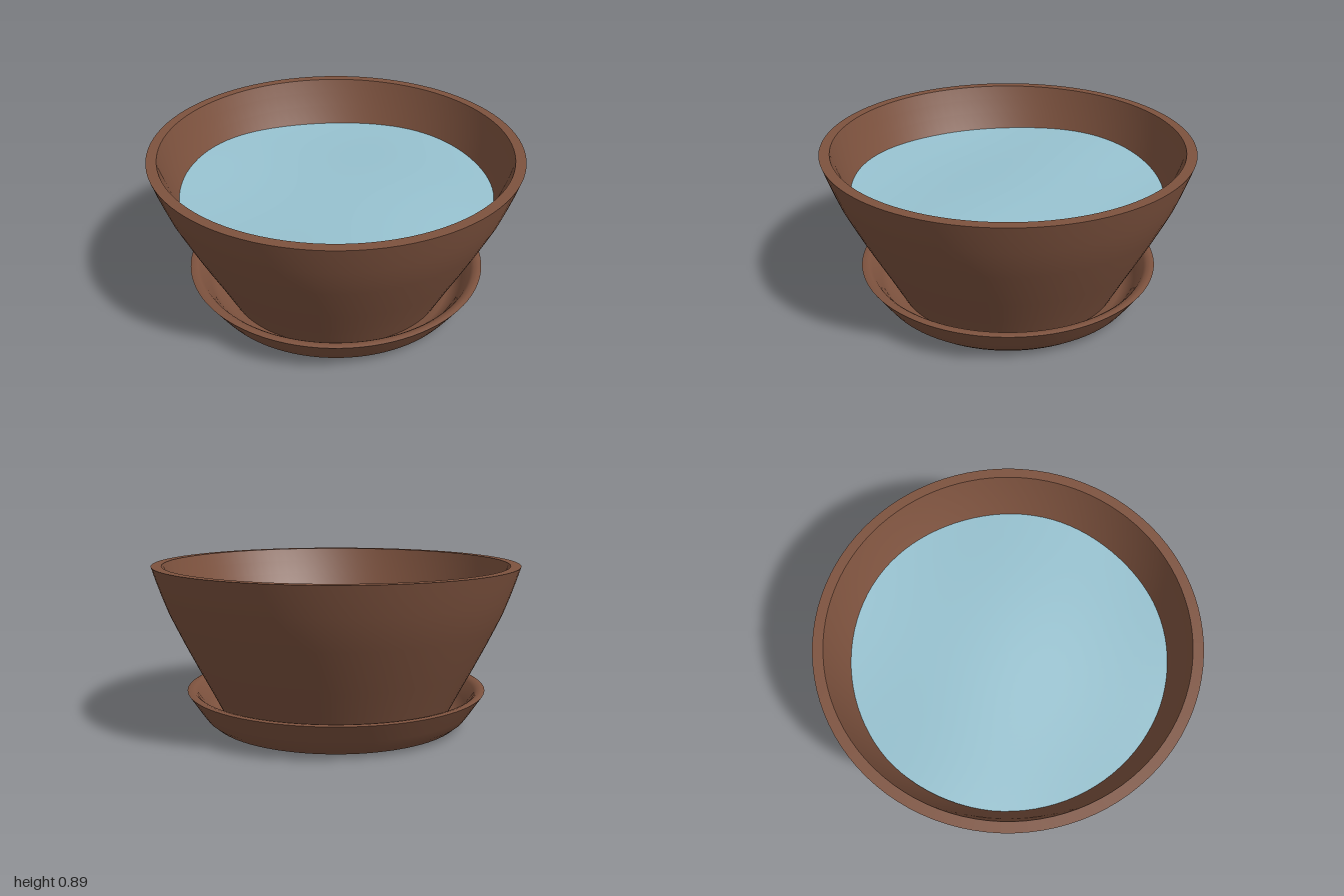
import * as THREE from 'three';
import { toCreasedNormals } from 'three/addons/utils/BufferGeometryUtils.js';

const SEGMENTS = 96;

// Revolve a profile running from the bottom centre, up the outside and back down the inside
function revolve(name, points, material) {
  const profile = points.map(([r, y]) => new THREE.Vector2(r, y));
  const geometry = toCreasedNormals(new THREE.LatheGeometry(profile, SEGMENTS), 0.6);
  const mesh = new THREE.Mesh(geometry, material);
  mesh.name = name;
  return mesh;
}

export function createModel() {
  const terracotta = new THREE.MeshStandardMaterial({ color: 0x7d523e });
  terracotta.name = 'terracotta brown';
  const blue = new THREE.MeshStandardMaterial({ color: 0x98c3d1 });
  blue.name = 'water blue';

  const group = new THREE.Group();
  group.name = 'planterBowl';

  // Flared bowl with a flat rim and an even wall
  group.add(revolve('bowl', [
    [0, 0.05], [0.62, 0.05], [0.66, 0.13], [0.7, 0.21], [0.77, 0.345], [0.835, 0.475],
    [0.88, 0.57], [0.917, 0.65], [0.95, 0.74], [0.977, 0.82], [1, 0.895],
    [0.945, 0.895], [0.92, 0.82], [0.889, 0.74], [0.852, 0.65], [0.81, 0.56],
    [0.765, 0.475], [0.7, 0.345], [0.63, 0.21], [0.58, 0.12], [0, 0.12],
  ], terracotta));

  // Shallow drip saucer with a slightly rounded lip and base
  group.add(revolve('saucer', [
    [0, 0.006], [0.4, 0.01], [0.69, 0.022], [0.73, 0.055], [0.765, 0.105], [0.83, 0.204],
    [0.812, 0.209], [0.79, 0.205], [0.773, 0.192], [0.725, 0.115], [0.69, 0.065],
    [0.65, 0.048], [0, 0.045],
  ], terracotta));

  // Gently rippled water surface reaching the inner wall
  const water = new THREE.RingGeometry(0.001, 0.855, SEGMENTS, 20);
  water.rotateX(-Math.PI / 2);
  const p = water.attributes.position;
  for (let i = 0; i < p.count; i++) {
    const x = p.getX(i), z = p.getZ(i);
    p.setY(i, 0.655 + 0.009 * Math.sin(4 * x + 1.5 * z) + 0.008 * Math.cos(5 * z - 2 * x + 0.6));
  }
  water.computeVertexNormals();
  const surface = new THREE.Mesh(water, blue);
  surface.name = 'waterSurface';
  group.add(surface);

  return group;
}
